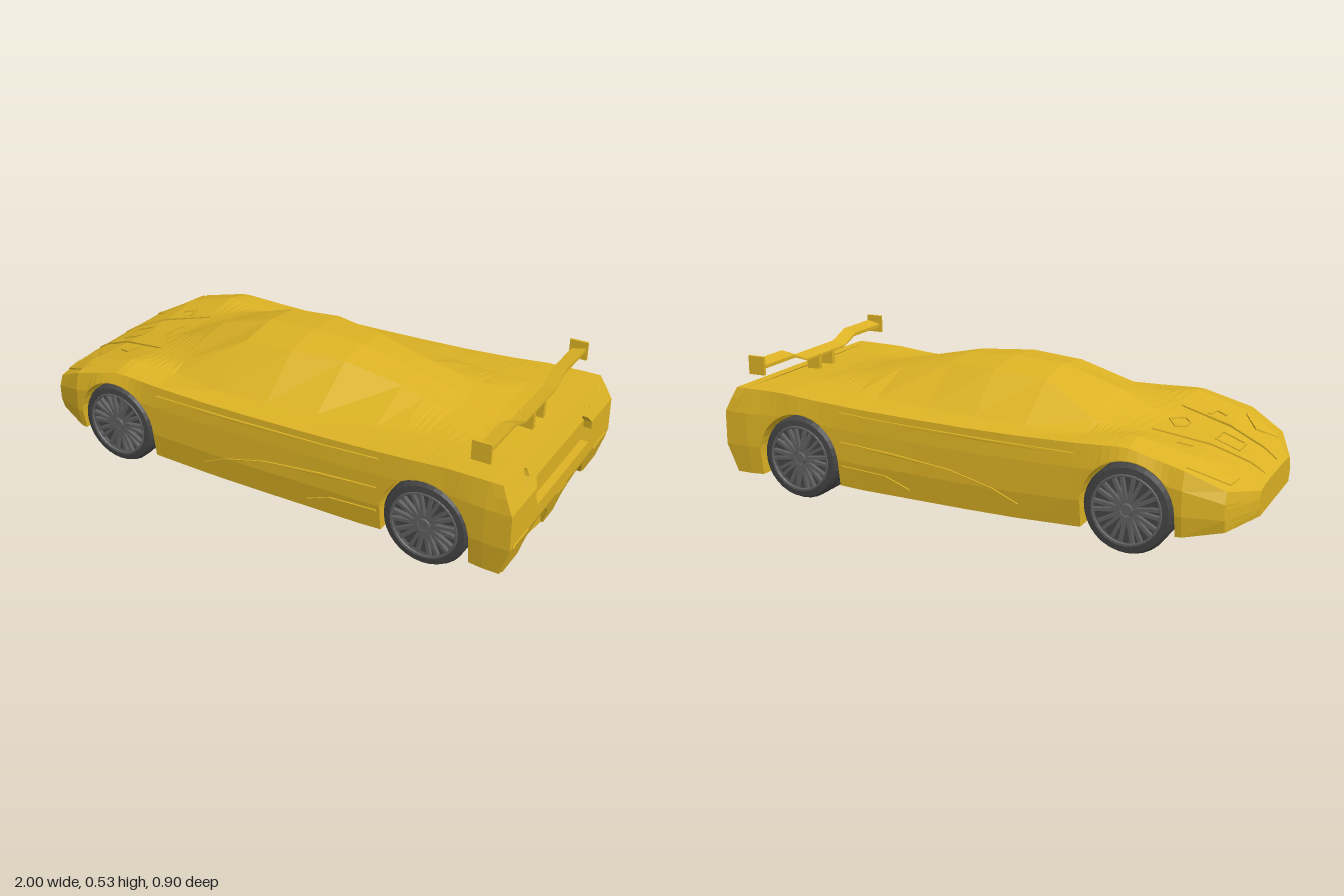
import * as THREE from 'three';

const yellow = new THREE.MeshStandardMaterial({ color: 0xdcb224, flatShading: true });
const tyreMat = new THREE.MeshStandardMaterial({ color: 0x444444, flatShading: true });
const rimMat = new THREE.MeshStandardMaterial({ color: 0x606060, flatShading: true });

const WHEELS = [-0.61, 0.68], HUB_Y = 0.157, ARCH = 0.167, WELL_Z = 0.235;

// Half sections: x, centre height, roof edge z/y, cabin base z/y, shoulder z/y, side z, floor y
const KEYS = [
  [-1.00, 0.22, 0.10, 0.22, 0.16, 0.217, 0.20, 0.21, 0.21, 0.12],
  [-0.93, 0.265, 0.15, 0.267, 0.28, 0.267, 0.37, 0.25, 0.387, 0.11],
  [-0.80, 0.315, 0.18, 0.322, 0.31, 0.335, 0.42, 0.317, 0.438, 0.09],
  [-0.60, 0.36, 0.20, 0.364, 0.33, 0.388, 0.42, 0.37, 0.437, 0.08],
  [-0.42, 0.45, 0.25, 0.398, 0.31, 0.368, 0.424, 0.363, 0.433, 0.066],
  [-0.20, 0.518, 0.165, 0.497, 0.345, 0.372, 0.425, 0.36, 0.431, 0.06],
  [0.00, 0.53, 0.17, 0.513, 0.335, 0.378, 0.425, 0.362, 0.43, 0.06],
  [0.20, 0.517, 0.13, 0.506, 0.32, 0.383, 0.425, 0.367, 0.43, 0.063],
  [0.42, 0.468, 0.11, 0.462, 0.295, 0.388, 0.425, 0.375, 0.432, 0.067],
  [0.62, 0.422, 0.12, 0.419, 0.27, 0.396, 0.427, 0.388, 0.436, 0.08],
  [0.75, 0.402, 0.20, 0.40, 0.27, 0.399, 0.43, 0.40, 0.438, 0.075],
  [0.90, 0.397, 0.20, 0.398, 0.28, 0.40, 0.433, 0.402, 0.452, 0.07],
];

const lerp = THREE.MathUtils.lerp;
// Piecewise linear lookup in [input, output] pairs, inputs increasing
function lookup(pairs, v) {
  let i = 0;
  while (i < pairs.length - 2 && v > pairs[i + 1][0]) i++;
  const [a, b] = [pairs[i], pairs[i + 1]];
  return lerp(a[1], b[1], THREE.MathUtils.clamp((v - a[0]) / (b[0] - a[0] || 1), 0, 1));
}
const tailX = (y) => lookup([[0.04, 0.92], [0.07, 0.93], [0.18, 0.965], [0.309, 0.963], [0.402, 0.918]], y);

// Half ring as [z, y], roof centre to floor; inside an arch the lower edge follows the circle
function halfRing(x, inArch) {
  const [, yc, z1, y1, z2, y2, z3, y3, zs, bot] =
    KEYS[0].map((_, c) => lookup(KEYS.map((k) => [k[0], k[c]]), x));
  let arch = 0;
  if (inArch) for (const w of WHEELS) {
    const d = ARCH ** 2 - (x - w) ** 2;
    if (d > -1e-6) arch = HUB_Y + Math.sqrt(Math.max(d, 0));
  }
  const edge = Math.max(bot, arch), zb = zs - 0.014, zi = Math.min(WELL_Z, zb * 0.9);
  return [[0, yc], [z1, y1], [z2, y2], [z3, y3],
    [zs, Math.max(lerp(bot, y3, 0.72), arch + 0.006)],
    [zs, Math.max(lerp(bot, y3, 0.33), arch + 0.003)],
    [zb, edge], [zi, edge], [zi, bot], [0, bot]];
}
const topY = (x, z) => lookup(halfRing(x).slice(0, 5), Math.abs(z));
const sideZ = (x, y) => lookup(halfRing(x).slice(3, 7).map(([z, h]) => [h, z]).reverse(), y);

function bodyGeometry() {
  const stations = KEYS.map((k) => [k[0], false])
    .filter(([x]) => !WHEELS.some((w) => Math.abs(x - w) < ARCH));
  for (const w of WHEELS) {
    stations.push([w - ARCH, false]);
    for (let i = 0; i <= 16; i++) stations.push([w - ARCH * Math.cos((i / 16) * Math.PI), true]);
    stations.push([w + ARCH, false]);
  }
  stations.sort((a, b) => a[0] - b[0]);
  const full = (h, x) => [...h, ...h.slice(1, -1).reverse().map(([z, y]) => [-z, y])]
    .map(([z, y]) => [x(y), y, z]);
  const rings = stations.map(([x, a]) => full(halfRing(x, a), () => x));
  rings.push(full(halfRing(0.9), tailX));
  const n = rings[0].length, pos = rings.flat(2), idx = [];
  for (let s = 0; s < rings.length - 1; s++) for (let i = 0; i < n; i++) {
    const a = s * n + i, b = s * n + (i + 1) % n;
    idx.push(a, b, a + n, b, b + n, a + n);
  }
  // Nose and tail closed with horizontal strips between mirrored points
  const last = (rings.length - 1) * n;
  for (let i = 0; i < n / 2; i++) {
    const j = (n - i) % n, k = n - i - 1;
    idx.push(i, j, i + 1, j, k, i + 1);
    idx.push(last + i, last + i + 1, last + j, last + j, last + i + 1, last + k);
  }
  const g = new THREE.BufferGeometry();
  g.setAttribute('position', new THREE.Float32BufferAttribute(pos, 3));
  g.setIndex(idx);
  const flat = g.toNonIndexed();
  flat.computeVertexNormals();
  return flat;
}

function extrude(points, depth, holes = []) {
  const v = (list) => list.map(([a, b]) => new THREE.Vector2(a, b));
  const shape = new THREE.Shape(v(points));
  shape.holes = holes.map((h) => new THREE.Path(v(h)));
  return new THREE.ExtrudeGeometry(shape, { depth, bevelEnabled: false });
}
function move(g, fn) {
  const p = g.attributes.position, v = new THREE.Vector3();
  for (let i = 0; i < p.count; i++) {
    fn(v.fromBufferAttribute(p, i));
    p.setXYZ(i, v.x, v.y, v.z);
  }
  g.computeVertexNormals();
  return g;
}
// Mirror across z = 0, swapping corners to keep faces outward
function mirrored(geo) {
  const g = geo.index ? geo.toNonIndexed() : geo.clone();
  const p = g.attributes.position, s = p.array.slice();
  for (let i = 0; i < p.count; i++) {
    const j = i % 3 === 0 ? i : i % 3 === 1 ? i + 1 : i - 1;
    p.setXYZ(i, s[j * 3], s[j * 3 + 1], -s[j * 3 + 2]);
  }
  g.computeVertexNormals();
  return g;
}
const shrink = (pts, k) => {
  const c = [0, 1].map((i) => pts.reduce((s, p) => s + p[i], 0) / pts.length);
  return pts.map((p) => p.map((q, i) => c[i] + (q - c[i]) * k));
};
const flip = (pts) => pts.map(([z, y]) => [-z, y]);
const bothSides = (half) => [...half, ...flip(half).reverse()];
// Panels laid on the top (x, z), side (x, y) and tail (z, y) surfaces
const onTop = (pts, holes) =>
  move(extrude(pts, 0.015, holes).rotateX(Math.PI / 2), (v) => { v.y += topY(v.x, v.z) + 0.005; });
const onSide = (pts, holes) =>
  move(extrude(pts, 0.015, holes), (v) => { v.z += sideZ(v.x, v.y) - 0.009; });
const slab = (pts, depth, holes = []) =>
  extrude(flip(pts), depth, holes.map(flip)).rotateY(Math.PI / 2);
const onTail = (pts, depth, holes) =>
  move(slab(pts, depth, holes), (v) => { v.x += tailX(v.y) - 0.01; });

function makeWheel() {
  const wheel = new THREE.Group();
  const add = (name, geo, mat) => {
    const m = new THREE.Mesh(geo, mat);
    m.name = name;
    wheel.add(m);
    return m;
  };
  // Profile from inner hub to outer rim lip, axis along z
  const profile = [[0, -0.115], [0.133, -0.115], [0.133, -0.07], [0.15, -0.07], [0.157, -0.058],
    [0.157, -0.014], [0.148, -0.01], [0.148, 0.006], [0.157, 0.01], [0.157, 0.05], [0.148, 0.067],
    [0.127, 0.07], [0.122, 0.045], [0, 0.045]].map(([r, z]) => new THREE.Vector2(r, z));
  add('tyre', new THREE.LatheGeometry(profile, 32).rotateX(Math.PI / 2), tyreMat);
  add('rimRing', new THREE.TorusGeometry(0.121, 0.005, 6, 32), rimMat).position.z = 0.066;
  for (let i = 0; i < 10; i++) for (const s of [-1, 1])
    add('spoke', new THREE.BoxGeometry(0.095, 0.012, 0.016).translate(0.072, 0, 0)
      .rotateZ((i / 10) * Math.PI * 2 + s * 0.13), rimMat).position.z = 0.055;
  add('hubCap', new THREE.CylinderGeometry(0.02, 0.026, 0.02, 12).rotateX(Math.PI / 2), rimMat).position.z = 0.056;
  return wheel;
}

export function createModel() {
  const car = new THREE.Group();
  car.name = 'sportsCar';
  const add = (name, geo) => {
    const m = new THREE.Mesh(geo, yellow);
    m.name = name;
    car.add(m);
  };
  const pair = (name, geo) => { add(name, geo); add(name, mirrored(geo)); };

  add('body', bodyGeometry());

  // Wheels
  for (const x of WHEELS) for (const s of [1, -1]) {
    const w = makeWheel();
    w.name = x < 0 ? 'frontWheel' : 'rearWheel';
    w.position.set(x, HUB_Y, s * 0.367);
    if (s < 0) w.rotation.y = Math.PI;
    car.add(w);
  }

  // Nose and bonnet details
  const intake = [[-0.992, 0.135], [-0.935, 0.128], [-0.935, 0.195], [-0.992, 0.19]];
  pair('noseIntake', onSide(intake, [shrink(intake, 0.8)]));
  const lamp = [[-0.94, 0.25], [-0.93, 0.33], [-0.80, 0.398], [-0.79, 0.37], [-0.81, 0.28], [-0.87, 0.205]];
  pair('headlight', onTop(lamp, [shrink(lamp, 0.85)]));
  const hatch = [[-0.88, -0.048], [-0.79, -0.048], [-0.79, 0.048], [-0.88, 0.048]];
  add('bonnetHatch', onTop(hatch, [shrink(hatch, 0.88)]));
  const vent = [[-0.68, -0.03], [-0.65, -0.065], [-0.605, 0], [-0.65, 0.065], [-0.68, 0.03]];
  add('bonnetVent', onTop(vent, [shrink(vent, 0.85)]));
  pair('bonnetSlot', onTop([[-0.76, 0.2], [-0.72, 0.215], [-0.71, 0.17], [-0.70, 0.17], [-0.71, 0.23], [-0.76, 0.21]]));
  pair('bonnetCrease', onTop([[-0.98, 0.08], [-0.93, 0.09], [-0.8, 0.117], [-0.6, 0.16], [-0.6, 0.166], [-0.8, 0.123], [-0.93, 0.096], [-0.98, 0.086]]));

  // Side creases
  pair('doorCrease', onSide([[-0.21, 0.105], [-0.12, 0.152], [0.05, 0.195], [0.28, 0.222], [0.5, 0.24],
    [0.5, 0.247], [0.28, 0.231], [0.05, 0.204], [-0.12, 0.16], [-0.215, 0.115]]));
  pair('sillCrease', onSide([[0.22, 0.095], [0.32, 0.135], [0.5, 0.148], [0.5, 0.155], [0.315, 0.142], [0.22, 0.102]]));
  pair('waistLine', onSide([[-0.42, 0.322], [-0.1, 0.326], [0.3, 0.338], [0.5, 0.35], [0.5, 0.357], [0.3, 0.345], [-0.1, 0.334], [-0.42, 0.33]]));

  // Tail panels leave the grille, lights and diffuser arches recessed
  const grilleTop = [[0.205, 0.35], [0.235, 0.33], [0.25, 0.309]];
  const grilleBase = [[0.235, 0.235], [0.253, 0.28], [0.25, 0.309]];
  const light = [[0.265, 0.375], [0.275, 0.386], [0.385, 0.386], [0.395, 0.375], [0.385, 0.348], [0.37, 0.338], [0.29, 0.338], [0.27, 0.355]];
  add('upperTailPanel', onTail(bothSides([...grilleTop, [0.452, 0.309], [0.444, 0.36], [0.433, 0.402]]), 0.04,
    [light, flip(light)]));
  add('middleTailPanel', onTail(bothSides([...grilleBase, [0.452, 0.309], [0.452, 0.18]]), 0.04));
  pair('tailLight', onTail(shrink(light, 0.85), 0.03));
  add('lowerTailPanel', onTail(bothSides([[0.048, 0.042], [0.06, 0.1], [0.13, 0.16], [0.205, 0.16],
    [0.265, 0.1], [0.29, 0.07], [0.438, 0.07], [0.452, 0.18]]), 0.04));
  pair('cornerPod', onTail([[0.3, 0.07], [0.425, 0.07], [0.425, 0.175], [0.415, 0.186], [0.31, 0.186], [0.3, 0.175]], 0.045));

  // Diffuser
  add('diffuserFloor', slab(bothSides([[0.3, 0.075], [0.045, 0.04]]), 0.035).translate(0.91, 0, 0));
  add('diffuserKeel', onTail(bothSides([[0.045, 0.04], [0.045, 0.172]]), 0.043));

  // Rear wing, blade rising towards the back
  const blade = bothSides([[0.135, 0.457], [0.22, 0.491], [0.415, 0.491], [0.415, 0.478], [0.21, 0.478], [0.13, 0.449]]);
  add('wingBlade', move(slab(blade, 0.055).translate(0.835, 0, 0), (v) => { v.y += (v.x - 0.835) * 0.24; }));
  pair('wingEndPlate', new THREE.BoxGeometry(0.068, 0.07, 0.01).translate(0.861, 0.491, 0.417));
  pair('wingStrut', new THREE.BoxGeometry(0.055, 0.07, 0.02).translate(0.86, 0.423, 0.046));

  return car;
}
